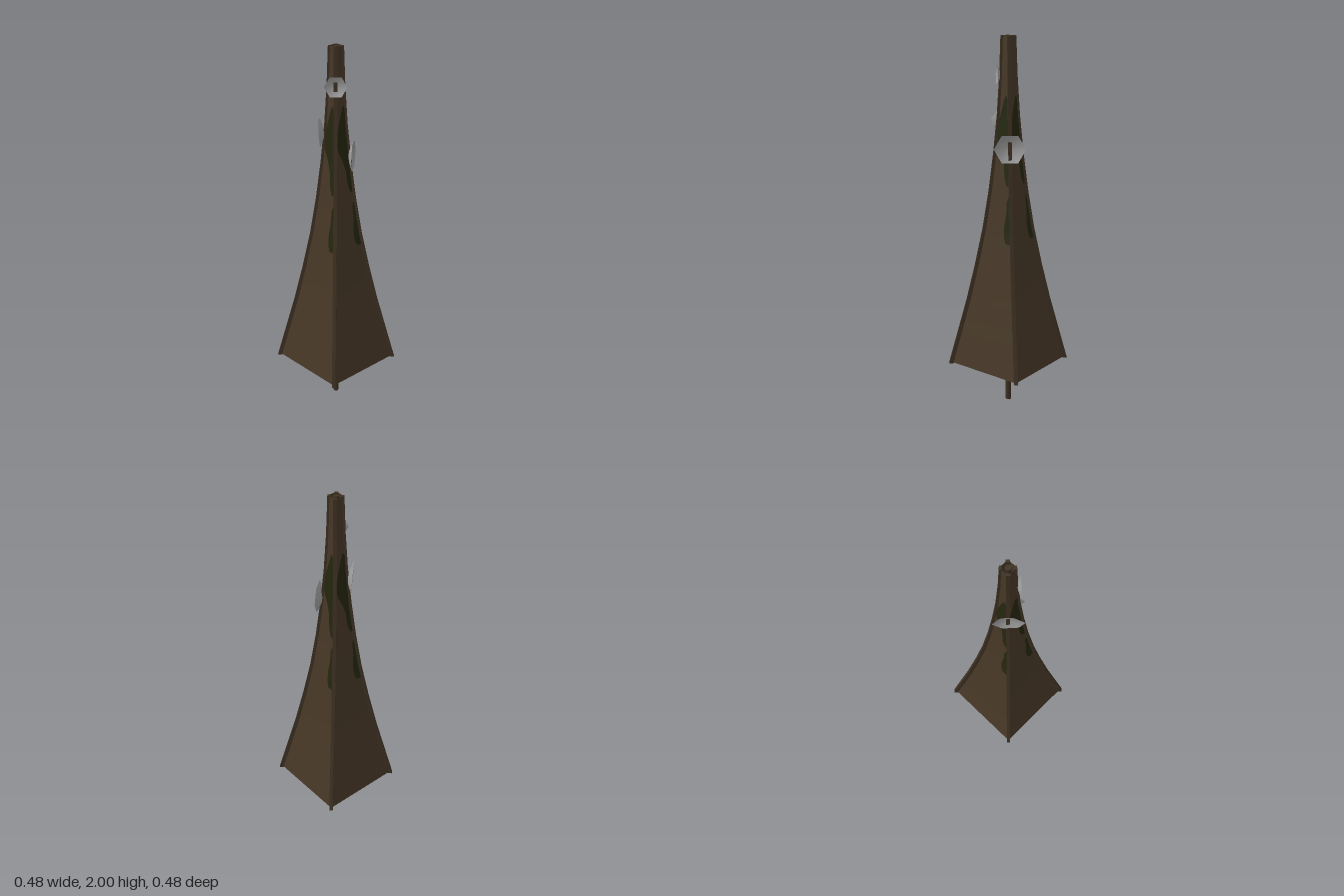
import * as THREE from 'three';

const mat = (name, color, side = THREE.FrontSide) => {
  const m = new THREE.MeshStandardMaterial({ color, side });
  m.name = name;
  return m;
};

// half width of the tower at a number of heights
const PROFILE = [[0.24, 0.222], [0.42, 0.187], [0.6, 0.153], [0.8, 0.12], [1, 0.091], [1.2, 0.069],
  [1.4, 0.052], [1.6, 0.039], [1.8, 0.031], [2, 0.027]];

// linear lookup in rows of [y, a, b, ...]
function lookup(rows, y, k) {
  let i = 0;
  while (i < rows.length - 2 && y > rows[i + 1][0]) i++;
  const t = (y - rows[i][0]) / (rows[i + 1][0] - rows[i][0]);
  return THREE.MathUtils.lerp(rows[i][k], rows[i + 1][k], THREE.MathUtils.clamp(t, 0, 1));
}
const half = (y) => lookup(PROFILE, y, 1);

// joins equal-length cross-sections, optionally as a closed tube with end caps
function loft(rings, closed) {
  const n = rings[0].length, pos = rings.flat(2), idx = [];
  for (let i = 0; i < rings.length - 1; i++) {
    for (let j = 0; j < (closed ? n : n - 1); j++) {
      const a = i * n + j, b = i * n + (j + 1) % n;
      idx.push(a, b, b + n, a, b + n, a + n);
    }
  }
  if (closed) {
    const e = (rings.length - 1) * n;
    idx.push(0, 2, 1, 0, 3, 2, e, e + 1, e + 2, e, e + 2, e + 3);
  }
  let g = new THREE.BufferGeometry();
  g.setAttribute('position', new THREE.Float32BufferAttribute(pos, 3));
  g.setIndex(idx);
  if (closed) g = g.toNonIndexed();
  g.computeVertexNormals();
  return g;
}

// paint patch lying on the front panel, from rows of [y, left, right]
function patch(rows) {
  const y0 = rows[0][0], y1 = rows[rows.length - 1][0], steps = 24, rings = [];
  for (let i = 0; i <= steps; i++) {
    const y = y0 + (y1 - y0) * i / steps, h = half(y);
    const l = Math.max(-h, lookup(rows, y, 1)), r = Math.min(h, lookup(rows, y, 2));
    rings.push([[l, y, h + 0.002], [r, y, h + 0.002]]);
  }
  return loft(rings, false);
}

export function createModel() {
  const model = new THREE.Group();
  const skin = mat('brown skin', 0x463726, THREE.DoubleSide);
  const frame = mat('dark brown frame', 0x3d3022);
  const moss = mat('dark green paint', 0x24260f, THREE.DoubleSide);
  const metal = mat('grey metal', 0x9c9c9c, THREE.DoubleSide);

  const add = (parent, geo, material, name) => {
    const m = new THREE.Mesh(geo, material);
    m.name = name;
    parent.add(m);
    return m;
  };

  // flared panel, open at top and bottom
  const panelGeo = loft(PROFILE.map(([y, h]) => [[-h, y, h], [h, y, h]]), false);

  // corner rib, drawn on the +z axis and turned to the diagonal
  const ribGeo = loft(PROFILE.map(([y, h], i) => {
    const t = 1 - i / (PROFILE.length - 1), d = h * Math.SQRT2, w = 0.0095;
    const a = d - 0.011, b = d + 0.001 + 0.013 * t, yy = i ? y : y - 0.005;
    return [[-w, yy, b], [w, yy, b], [w, yy, a], [-w, yy, a]];
  }), true);

  const upperPatch = patch([[1.24, 0.04, 0.06], [1.28, 0.024, 0.07], [1.36, 0.016, 0.07],
    [1.42, -0.004, 0.06], [1.47, -0.03, 0.05], [1.53, -0.038, 0.045], [1.6, -0.02, 0.037],
    [1.66, -0.004, 0.03], [1.7, 0.01, 0.018]]);
  const lowerPatch = patch([[0.94, 0.06, 0.09], [0.97, 0.046, 0.1], [1.03, 0.042, 0.1],
    [1.1, 0.05, 0.09], [1.16, 0.048, 0.08], [1.19, 0.06, 0.075]]);

  for (let i = 0; i < 4; i++) {
    const side = new THREE.Group();
    side.name = 'towerSide';
    side.rotation.y = i * Math.PI / 2;
    add(side, panelGeo, skin, 'panel');
    add(side, upperPatch, moss, 'upperPatch');
    add(side, lowerPatch, moss, 'lowerPatch');
    add(side, ribGeo, frame, 'cornerRib').rotation.y = Math.PI / 4;
    model.add(side);
  }

  // central pole
  const pole = add(model, new THREE.CylinderGeometry(0.015, 0.015, 2, 6), frame, 'centralPole');
  pole.position.y = 1;
  pole.rotation.y = Math.PI / 2;

  // six-sided dishes: rim centre, radius, heading, tilt, roll
  const dishes = [
    [0.042, 1.807, 0.041, 0.058, 45, 0, 0],
    [-0.057, 1.555, 0.06, 0.081, -45, 4, 8],
    [0.065, 1.435, -0.061, 0.083, 128, 0, 0],
  ];
  const rad = THREE.MathUtils.degToRad;
  for (const [x, y, z, r, heading, tilt, roll] of dishes) {
    const dish = new THREE.Group();
    dish.name = 'dish';
    dish.rotation.order = 'YXZ';
    dish.rotation.set(rad(tilt), rad(heading), rad(roll));
    dish.position.set(x, y, z);
    const bowl = new THREE.LatheGeometry([[0, -0.3], [0.4, -0.24], [0.75, -0.12], [1, 0]]
      .map(([a, b]) => new THREE.Vector2(a * r, b * r)), 6, Math.PI / 2);
    bowl.rotateX(Math.PI / 2);
    add(dish, bowl, metal, 'dishBowl');
    // mounting stub whose tip shows in the bowl
    const stub = new THREE.CylinderGeometry(0.005, 0.005, 0.03, 6);
    stub.rotateX(Math.PI / 2);
    add(dish, stub, frame, 'dishMount').position.z = -0.3 * r - 0.01;
    model.add(dish);
  }
  return model;
}
